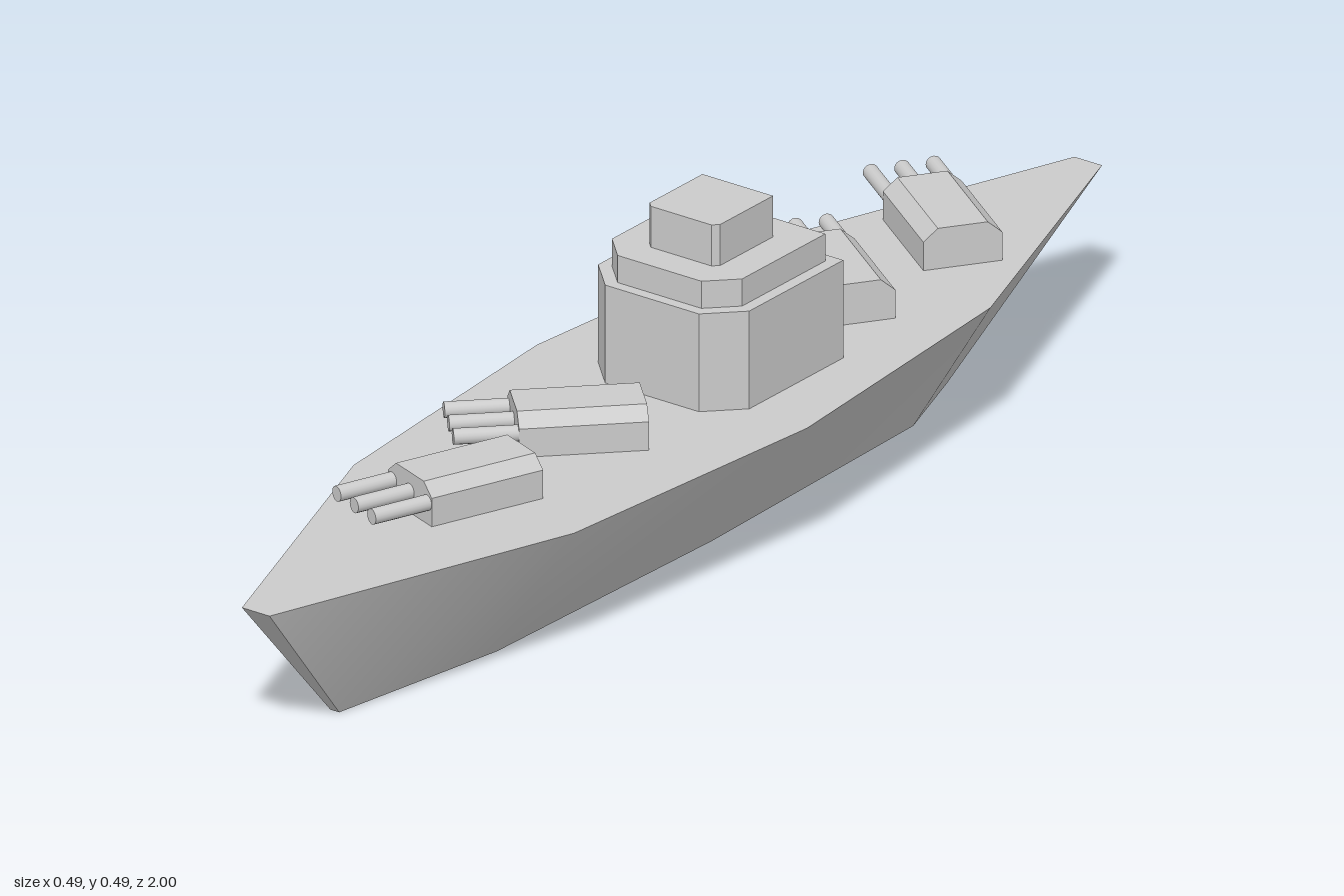
import * as THREE from 'three';
import { toCreasedNormals } from 'three/addons/utils/BufferGeometryUtils.js';

const DECK = 0.225;
const material = new THREE.MeshStandardMaterial({ color: 0xcccccc });

function add(parent, name, geometry) {
  const mesh = new THREE.Mesh(geometry, material);
  mesh.name = name;
  parent.add(mesh);
  return mesh;
}

// Hull: keel outline lofted to a wider deck outline, capped at both ends
function hullGeometry() {
  const loop = (stations, y) => [
    ...stations.map(([x, z]) => [x, y, z]),
    ...[...stations].reverse().map(([x, z]) => [-x, y, z]),
  ];
  const deck = loop([[0.025, 1], [0.2, 0.5], [0.245, 0], [0.2, -0.5], [0.025, -1]], DECK);
  const keel = loop([[0.008, 0.81], [0.06, 0.5], [0.073, 0], [0.06, -0.5], [0.008, -0.65]], 0);
  const n = deck.length;
  const index = [];
  for (let i = 0; i < n; i++) {
    const j = (i + 1) % n;
    index.push(i, j, n + j, i, n + j, n + i);
    if (i > 0 && i < n - 1) index.push(n, n + i, n + j, 0, j, i);
  }
  const geometry = new THREE.BufferGeometry();
  geometry.setAttribute('position', new THREE.Float32BufferAttribute([...keel, ...deck].flat(), 3));
  geometry.setIndex(index);
  return toCreasedNormals(geometry, Math.PI / 6);
}

// Bridge tier: block with its two front corners cut off
function tierGeometry(half, back, front, cut, bottom, top) {
  const shape = new THREE.Shape([
    [-half, -back], [-half, -front + cut], [-half + cut, -front],
    [half - cut, -front], [half, -front + cut], [half, -back],
  ].map(([x, y]) => new THREE.Vector2(x, y)));
  return new THREE.ExtrudeGeometry(shape, { depth: top - bottom, bevelEnabled: false })
    .rotateX(-Math.PI / 2)
    .translate(0, bottom, 0);
}

// Turret: housing with sloped shoulders and three barrels along +z
function makeTurret(name) {
  const turret = new THREE.Group();
  turret.name = name;
  const w = 0.06, length = 0.19;
  const section = new THREE.Shape([
    [-w, 0], [w, 0], [w, 0.045], [w - 0.022, 0.064], [-w + 0.022, 0.064], [-w, 0.045],
  ].map(([x, y]) => new THREE.Vector2(x, y)));
  add(turret, 'turretHousing', new THREE.ExtrudeGeometry(section, { depth: length, bevelEnabled: false })
    .translate(0, 0, -length / 2));
  for (const side of [-1, 0, 1]) {
    add(turret, 'gunBarrel', new THREE.CylinderGeometry(0.012, 0.012, 0.14, 16)
      .rotateX(Math.PI / 2)
      .translate(side * 0.0478, 0.034, 0.12));
  }
  return turret;
}

export function createModel() {
  const ship = new THREE.Group();
  ship.name = 'warship';
  add(ship, 'hull', hullGeometry());

  // Stepped bridge tower
  add(ship, 'bridgeBase', tierGeometry(0.137, -0.23, 0.048, 0.052, DECK, 0.38));
  add(ship, 'bridgeMiddle', tierGeometry(0.118, -0.212, 0.03, 0.042, 0.38, 0.423));
  add(ship, 'bridgeTop', tierGeometry(0.064, -0.158, -0.022, 0.009, 0.423, 0.488));

  // Turrets: z position and turn in degrees
  const turrets = [
    ['bowTurret', 0.496, -21], ['foreTurret', 0.225, -45],
    ['aftTurret', -0.393, -125], ['sternTurret', -0.65, -125],
  ];
  for (const [name, z, turn] of turrets) {
    const turret = makeTurret(name);
    turret.position.set(0, DECK, z);
    turret.rotation.y = THREE.MathUtils.degToRad(turn);
    ship.add(turret);
  }
  return ship;
}
